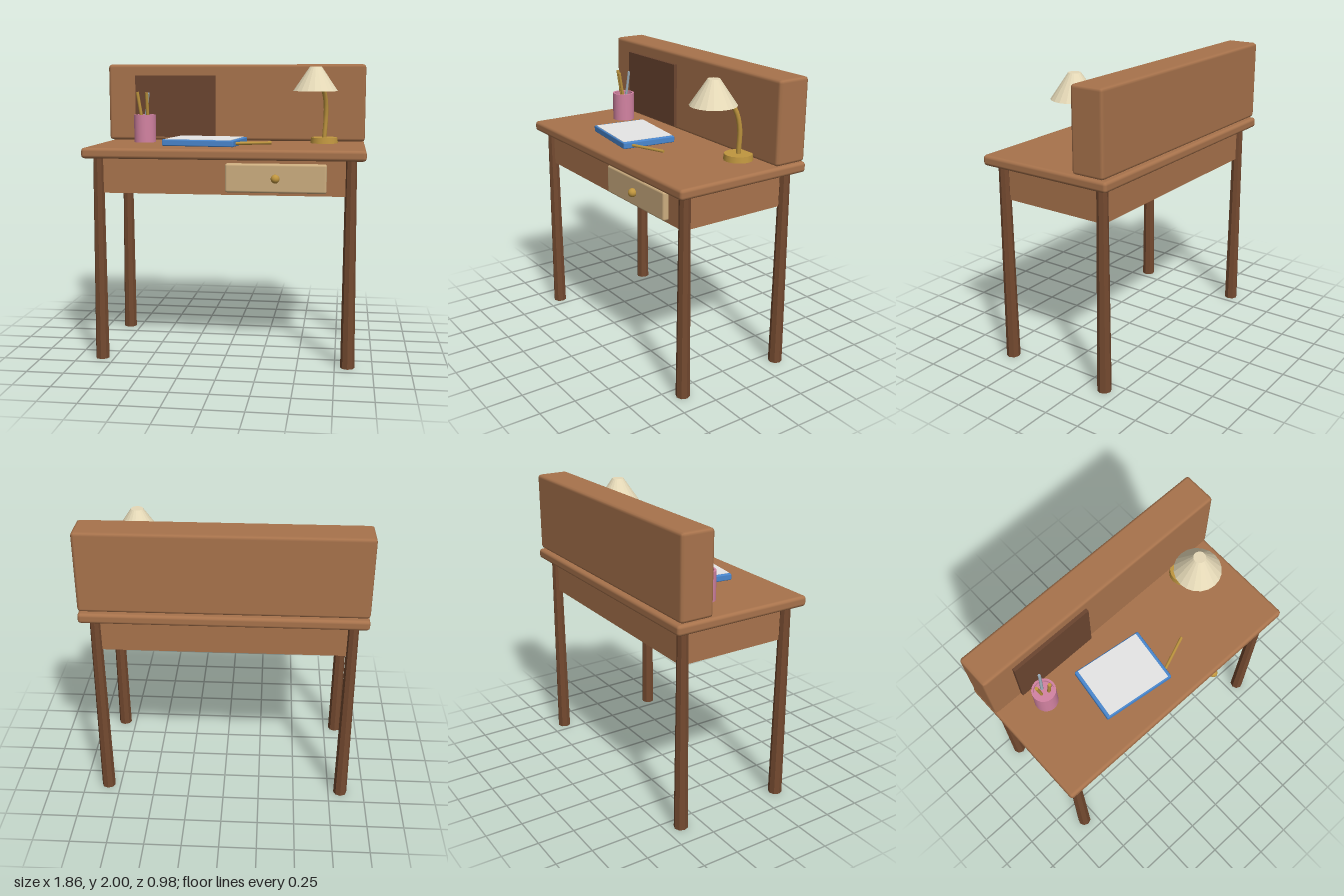
import * as THREE from 'three';
import { RoundedBoxGeometry } from 'three/addons/geometries/RoundedBoxGeometry.js';

const mat = (name, color, flatShading = false) => {
  const m = new THREE.MeshStandardMaterial({ color });
  m.name = name;
  m.flatShading = flatShading;
  return m;
};

export function createModel() {
  const wood = mat('wood', 0xa8734c);
  const darkWood = mat('darkWood', 0x744a30, true);
  const boardBrown = mat('boardBrown', 0x6b4530);
  const paleWood = mat('paleWood', 0xcdae80);
  const brass = mat('brass', 0xc0963f);
  const cream = mat('cream', 0xe6dab8, true);
  const pink = mat('pink', 0xd383a2);
  const blue = mat('blue', 0x4a88d0);
  const paper = mat('paper', 0xe6e6e6);
  const steel = mat('steel', 0x9fb0bc);

  const model = new THREE.Group();
  model.name = 'desk';
  const add = (name, geometry, material, x, y, z, parent = model) => {
    const mesh = new THREE.Mesh(geometry, material);
    mesh.name = name;
    mesh.position.set(x, y, z);
    parent.add(mesh);
    return mesh;
  };
  const v = (x, y, z) => new THREE.Vector3(x, y, z);

  // Six-sided rod between two points
  const rod = (name, a, b, radius, material) => {
    const dir = b.clone().sub(a);
    const mid = a.clone().add(b).multiplyScalar(0.5);
    const mesh = add(name, new THREE.CylinderGeometry(radius, radius, dir.length(), 6), material, mid.x, mid.y, mid.z);
    mesh.quaternion.setFromUnitVectors(v(0, 1, 0), dir.normalize());
    return mesh;
  };

  // Desk body
  add('tabletop', new RoundedBoxGeometry(1.86, 0.07, 0.975, 2, 0.022), wood, 0, 1.415, 0);
  add('apron', new THREE.BoxGeometry(1.66, 0.235, 0.8), wood, 0, 1.2625, 0);
  add('hutch', new RoundedBoxGeometry(1.86, 0.545, 0.232, 1, 0.022), wood, 0, 1.7275, -0.353);
  add('noticeBoard', new THREE.BoxGeometry(0.585, 0.44, 0.025), boardBrown, -0.433, 1.7, -0.226);

  // Legs, slightly thicker at the foot
  for (const x of [-0.835, 0.835]) {
    for (const z of [-0.393, 0.393]) {
      add('leg', new THREE.CylinderGeometry(0.036, 0.047, 1.38, 8), darkWood, x, 0.69, z);
    }
  }

  // Drawer
  add('drawerFront', new RoundedBoxGeometry(0.66, 0.19, 0.05, 2, 0.015), paleWood, 0.35, 1.26, 0.415);
  add('drawerKnob', new THREE.SphereGeometry(0.029, 14, 10), brass, 0.35, 1.26, 0.453);

  // Lamp
  add('lampBase', new THREE.CylinderGeometry(0.092, 0.097, 0.04, 16), brass, 0.645, 1.47, -0.163);
  const stem = new THREE.CatmullRomCurve3([
    v(0.645, 1.48, -0.163), v(0.655, 1.65, -0.16), v(0.65, 1.76, -0.135),
    v(0.63, 1.84, -0.09), v(0.59, 1.9, -0.01),
  ]);
  add('lampStem', new THREE.TubeGeometry(stem, 14, 0.016, 8), brass, 0, 0, 0);
  add('lampShade', new THREE.CylinderGeometry(0.04, 0.153, 0.165, 20), cream, 0.585, 1.898, 0);

  // Pencil cup with a rim and a sunken inside
  const cupProfile = [[0, 0], [0.078, 0], [0.078, 0], [0.078, 0.195], [0.078, 0.195], [0.064, 0.195],
    [0.064, 0.195], [0.064, 0.17], [0.064, 0.17], [0, 0.17]];
  const cupPoints = cupProfile.map(([r, y]) => new THREE.Vector2(r, y));
  add('pencilCup', new THREE.LatheGeometry(cupPoints, 20), pink, -0.63, 1.45, -0.1);
  rod('cupPencil', v(-0.65, 1.6, -0.1), v(-0.68, 1.805, -0.085), 0.012, brass);
  rod('cupPencil', v(-0.605, 1.6, -0.085), v(-0.605, 1.8, -0.052), 0.012, brass);
  rod('cupPen', v(-0.63, 1.6, -0.12), v(-0.612, 1.8, -0.14), 0.01, steel);

  // Notebook lying at an angle
  const notebook = new THREE.Group();
  notebook.name = 'notebook';
  notebook.position.set(-0.16, 1.45, 0.113);
  notebook.rotation.y = -0.13;
  model.add(notebook);
  add('notebookCover', new RoundedBoxGeometry(0.5, 0.044, 0.38, 1, 0.008), blue, 0, 0.024, 0, notebook);
  add('notebookPage', new THREE.BoxGeometry(0.456, 0.008, 0.362), paper, 0, 0.045, 0, notebook);

  // Loose pencil
  rod('deskPencil', v(0.06, 1.473, 0.27), v(0.3, 1.473, 0.177), 0.011, brass);

  return model;
}
